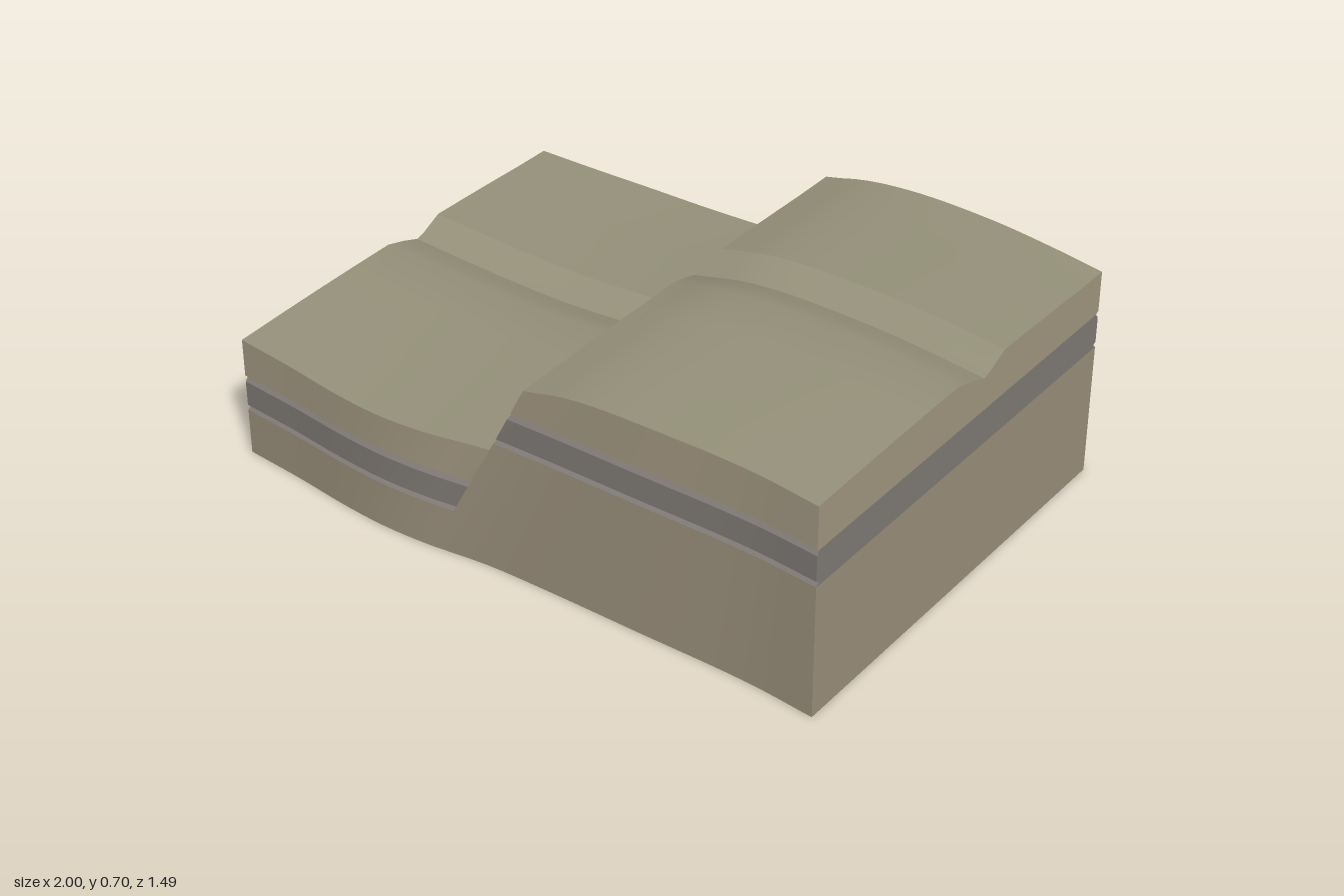
import * as THREE from 'three';
import { mergeGeometries, toCreasedNormals } from 'three/addons/utils/BufferGeometryUtils.js';

// Smooth curve through (x, value) samples
function curve(xs, values) {
  const c = new THREE.CubicInterpolant(xs, values, 1);
  return (x) => c.evaluate(x)[0];
}

const frontEdge = curve([-1, -0.8, -0.6, -0.45, -0.3, -0.1, 0.1, 0.4, 0.8, 1],
  [0.702, 0.715, 0.734, 0.74, 0.731, 0.703, 0.693, 0.686, 0.678, 0.69]);
const backEdge = curve([-1, -0.8, -0.6, -0.4, 0, 0.2, 0.4, 0.6, 0.8, 1],
  [-0.675, -0.69, -0.707, -0.715, -0.724, -0.736, -0.746, -0.742, -0.724, -0.7]);
// Line of the stream bed across both blocks
const streamLine = curve([-1, -0.8, -0.4, -0.1, 0.05, 0.4, 0.7, 1],
  [-0.062, -0.06, -0.066, -0.085, -0.093, -0.108, -0.105, -0.086]);
const lowTop = curve([-1, -0.8, -0.6, -0.4, -0.2, -0.05], [0.405, 0.4, 0.396, 0.397, 0.405, 0.415]);
const highTop = curve([0, 0.05, 0.1, 0.15, 0.25, 0.6, 0.8, 1],
  [0.645, 0.656, 0.667, 0.68, 0.695, 0.704, 0.702, 0.696]);

// Sloping fault plane between the blocks
const faultX = (y) => -0.275 + 0.5 * y;

// Rows across z: stream channel as [offset from the bed, depth], plain ground either side
const CHANNEL = [[-0.1, 0], [-0.03, 0.034], [0, 0.042], [0.06, 0.02], [0.13, 0]];
const SIDE = 4;
const NZ = SIDE * 2 + CHANNEL.length - 1;
const NX = 22;

function rowAt(x, j, inset) {
  const bed = streamLine(x);
  const last = CHANNEL.length - 1;
  if (j < SIDE) {
    return [THREE.MathUtils.lerp(backEdge(x) + inset, bed + CHANNEL[0][0], j / SIDE), 0];
  }
  if (j > SIDE + last) {
    return [THREE.MathUtils.lerp(bed + CHANNEL[last][0], frontEdge(x) - inset, (j - SIDE - last) / SIDE), 0];
  }
  const [offset, depth] = CHANNEL[j - SIDE];
  return [bed + offset, depth];
}

// Point of a block; level.y is a number, or a function of x for the ground
function blockPoint(high, level, i, j) {
  const ground = typeof level.y === 'function';
  let y = ground ? level.y(high ? 0.05 : -0.07) : level.y;
  let x, z, depth;
  for (let k = 0; k < (ground ? 6 : 1); k++) {
    const x0 = high ? faultX(y) : -1;
    const x1 = high ? 1 : faultX(y);
    x = THREE.MathUtils.lerp(x0, x1, i / NX);
    [z, depth] = rowAt(x, j, level.inset);
    if (ground) y = level.y(x) - depth - 0.014 * Math.min(1, ((z - 0.1) / 0.7) ** 2);
  }
  return [x, y, z];
}

// Quad sheet facing along (a direction) x (b direction)
function sheet(na, nb, point, flip = false) {
  const pos = [], index = [];
  for (let a = 0; a <= na; a++) {
    for (let b = 0; b <= nb; b++) pos.push(...point(a, b));
  }
  for (let a = 0; a < na; a++) {
    for (let b = 0; b < nb; b++) {
      const p = a * (nb + 1) + b, q = p + nb + 1;
      if (flip) index.push(p, q + 1, q, p, p + 1, q + 1);
      else index.push(p, q, q + 1, p, q + 1, p + 1);
    }
  }
  const g = new THREE.BufferGeometry();
  g.setAttribute('position', new THREE.Float32BufferAttribute(pos, 3));
  g.setIndex(index);
  g.computeVertexNormals();
  return g;
}

function addMesh(parent, name, parts, color) {
  const geometry = toCreasedNormals(mergeGeometries(parts), 0.3);
  const mesh = new THREE.Mesh(geometry, new THREE.MeshStandardMaterial({ color }));
  mesh.name = name;
  parent.add(mesh);
}

// Walls and underside of one layer, then its top sheet
function layerWalls(high, levels) {
  const n = levels.length - 1;
  const at = (l, i, j) => blockPoint(high, levels[l], i, j);
  return [
    sheet(NX, n, (i, l) => at(l, i, NZ)),
    sheet(NX, n, (i, l) => at(l, i, 0), true),
    sheet(n, NZ, (l, j) => at(l, NX, j)),
    sheet(n, NZ, (l, j) => at(l, 0, j), true),
    sheet(NZ, NX, (j, i) => at(0, i, j), true),
  ];
}
const layerTop = (high, level) => sheet(NZ, NX, (j, i) => blockPoint(high, level, i, j));

function makeBlock(name, high, drop, ground) {
  const block = new THREE.Group();
  block.name = name;
  const level = (y, inset = 0) => ({ y: y - drop, inset });
  const bedrock = [{ y: 0, inset: 0 }, level(0.43)];
  // Grooves along the front and back mark the edges of the middle layer
  const middle = [level(0.43), level(0.441, 0.012), level(0.448), level(0.53), level(0.545, 0.012)];
  const soil = [level(0.545, 0.012), level(0.552), { y: ground, inset: 0 }];

  addMesh(block, 'bedrockLayer', [...layerWalls(high, bedrock), layerTop(high, bedrock[1])], 0x9b907c);
  addMesh(block, 'middleLayer', [...layerWalls(high, middle), layerTop(high, middle[4])], 0x807b76);
  addMesh(block, 'upperLayer', layerWalls(high, soil), 0xa39882);
  addMesh(block, 'groundSurface', [layerTop(high, soil[2])], 0x95917a);
  return block;
}

export function createModel() {
  const model = new THREE.Group();
  model.name = 'faultBlockModel';
  model.add(makeBlock('raisedBlock', true, 0, highTop));
  model.add(makeBlock('droppedBlock', false, 0.28, lowTop));
  return model;
}
